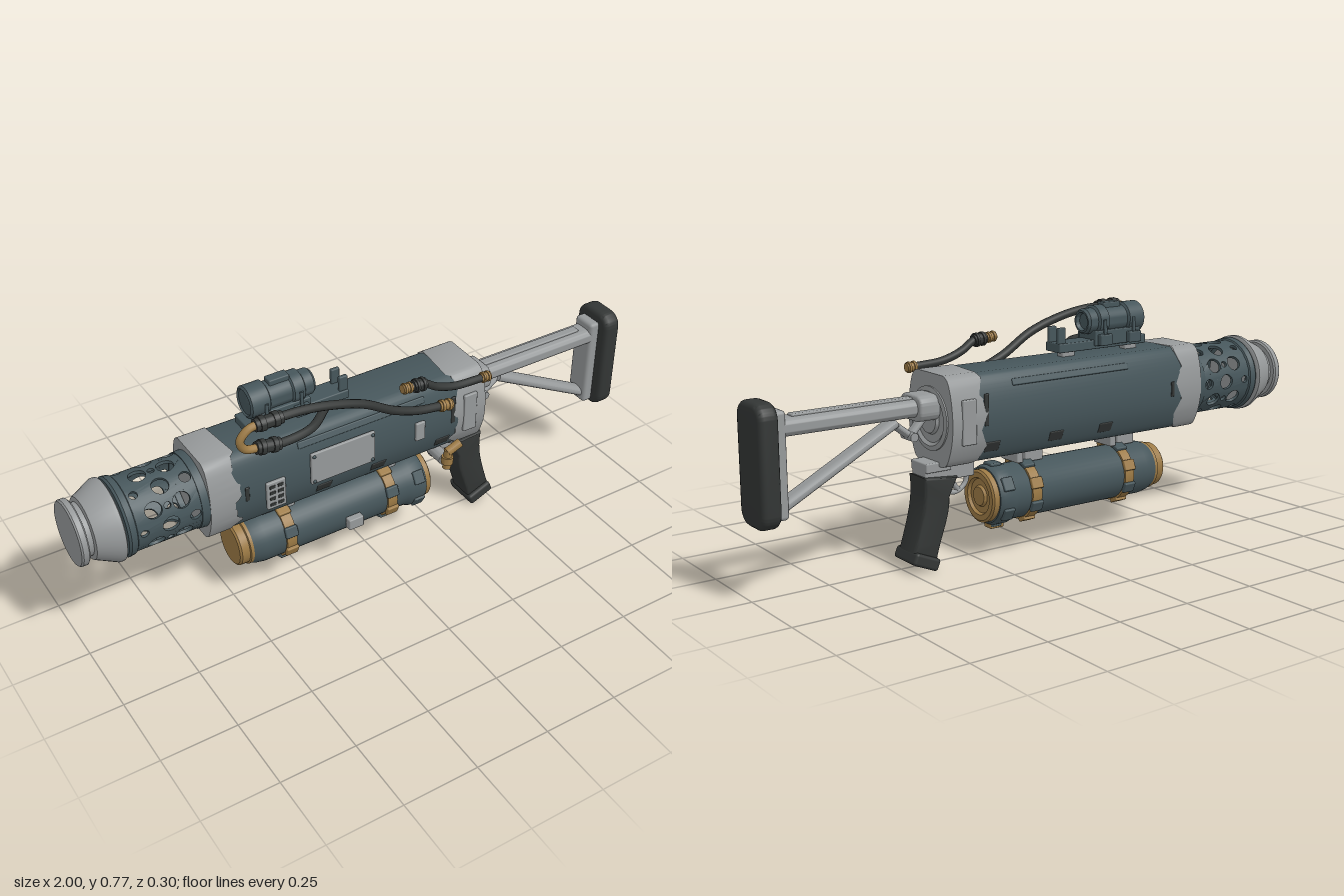
import * as THREE from 'three';
import { toCreasedNormals, mergeGeometries } from 'three/addons/utils/BufferGeometryUtils.js';
import { RoundedBoxGeometry } from 'three/addons/geometries/RoundedBoxGeometry.js';

const mat = (color) => new THREE.MeshStandardMaterial({ color, side: THREE.DoubleSide });
const slate = mat(0x46565b), grey = mat(0x96999a), black = mat(0x333635), ochre = mat(0x9c7a45);
const ZC = -0.023, YB = 0.47, YT = 0.195; // centre plane, barrel axis, tank axis
const V = (x, y, z) => new THREE.Vector3(x, y, z);

export function createModel() {
  const root = new THREE.Group();

  function add(name, geo, m, x = 0, y = 0, z = 0, crease = 0.6) {
    const mesh = new THREE.Mesh(crease ? toCreasedNormals(geo, crease) : geo, m);
    mesh.name = name;
    mesh.position.set(x, y, z);
    root.add(mesh);
    return mesh;
  }
  const box = (name, m, x, y, z, w, h, d, r = 0.004) =>
    add(name, new RoundedBoxGeometry(w, h, d, 2, Math.min(r, w / 2.1, h / 2.1, d / 2.1)), m, x, y, z, 0);
  // revolved part along x from [x, radius] pairs
  const turned = (name, m, pts, y, z = ZC, seg = 40) =>
    add(name, new THREE.LatheGeometry(pts.map(([x, r]) => new THREE.Vector2(r, x)), seg).rotateZ(-Math.PI / 2), m, 0, y, z);
  // straight rod between two points
  function rod(name, m, a, b, r, flat = 1) {
    const d = b.clone().sub(a), mid = a.clone().add(b).multiplyScalar(0.5);
    const mesh = add(name, new THREE.CylinderGeometry(r, r, d.length(), 20).scale(1, 1, flat), m, mid.x, mid.y, mid.z);
    mesh.quaternion.setFromUnitVectors(V(0, 1, 0), d.normalize());
    return mesh;
  }
  const tube = (name, m, pts, r, n = 60) =>
    add(name, new THREE.TubeGeometry(new THREE.CatmullRomCurve3(pts), n, r, 12), m, 0, 0, 0, 0);
  // cross-section (z, y) extruded along x
  const extrudeX = (shape, x, len, bevel = 0) => new THREE.ExtrudeGeometry(shape, {
    depth: len - 2 * bevel, bevelEnabled: bevel > 0, bevelSize: bevel, bevelThickness: bevel, bevelOffset: -bevel, bevelSegments: 3, curveSegments: 10,
  }).rotateY(Math.PI / 2).translate(x + bevel, 0, 0);
  function roundRect(w, h, r) {
    const s = new THREE.Shape(), a = w / 2 - r, b = h / 2 - r;
    s.absarc(a, b, r, 0, Math.PI / 2);
    s.absarc(-a, b, r, Math.PI / 2, Math.PI);
    s.absarc(-a, -b, r, Math.PI, Math.PI * 1.5);
    s.absarc(a, -b, r, Math.PI * 1.5, Math.PI * 2);
    return s;
  }

  // receiver: bulged sides, flat top and bottom
  const half = [[0.062, -0.14], [0.088, -0.125], [0.114, -0.065], [0.122, 0], [0.114, 0.07], [0.095, 0.122], [0.07, 0.138]];
  const side = new THREE.SplineCurve(half.map(([u, v]) => new THREE.Vector2(u, v))).getSpacedPoints(24);
  const outline = (g = 0) => {
    const right = side.map((p) => new THREE.Vector2(p.x + g, p.y * (1 + g * 7)));
    const left = right.map((p) => new THREE.Vector2(-p.x, p.y)).reverse();
    return new THREE.Shape([...right, ...left]);
  };
  add('receiver', extrudeX(outline(), -0.59, 0.98, 0.006), slate, 0, YB, ZC);

  // worn end collars with an uneven inner edge
  function collar(name, x0, x1, dir) {
    const geo = extrudeX(outline(0.003), x0, x1 - x0), p = geo.attributes.position;
    const inner = dir > 0 ? x1 : x0;
    for (let i = 0; i < p.count; i++) {
      if (Math.abs(p.getX(i) - inner) > 1e-4) continue;
      const a = Math.atan2(p.getY(i), p.getZ(i));
      p.setX(i, inner + dir * 0.014 * (Math.sin(7 * a) + 0.7 * Math.sin(17 * a + 1)));
    }
    add(name, geo, grey, 0, YB, ZC);
  }
  collar('frontCollar', -0.6, -0.51, 1);
  collar('rearCollar', 0.29, 0.4, -1);
  turned('rearHub', grey, [[0.39, 0.1], [0.405, 0.1], [0.408, 0.085], [0.4, 0.075], [0.4, 0.05], [0.41, 0.045], [0.41, 0]], YB);

  // raised ridges and slots along the slanted flanks
  for (const s of [1, -1]) {
    box('shoulderRidge', slate, -0.06, YB + 0.1, ZC + s * 0.103, 0.46, 0.022, 0.012).rotation.x = -s * 0.42;
    for (const x of [-0.2, 0.0, 0.245])
      box('lowerSlot', black, x, YB - 0.09, ZC + s * 0.103, 0.055, 0.036, 0.008).rotation.x = s * 0.42;
    box('collarClamp', grey, 0.34, YB, ZC + s * 0.122, 0.05, 0.14, 0.012);
    box('collarSlot', black, 0.275, YB + 0.03, ZC + s * 0.12, 0.016, 0.1, 0.008);
    box('frontSlot', black, -0.475, YB + 0.005, ZC + s * 0.121, 0.014, 0.05, 0.006);
  }
  for (const x of [-0.3, -0.05, 0.18]) box('bellySlot', black, x, YB - 0.139, ZC, 0.09, 0.008, 0.05);

  // side plates with screws
  box('sidePlate', grey, -0.145, 0.485, 0.106, 0.23, 0.115, 0.012);
  for (const x of [-0.25, -0.04]) for (const y of [0.438, 0.532])
    add('plateScrew', new THREE.SphereGeometry(0.006, 10, 6), slate, x, y, 0.112, 0);
  box('ventFrame', grey, -0.382, 0.443, 0.104, 0.066, 0.1, 0.012);
  for (let i = 0; i < 4; i++) for (const dx of [-0.014, 0.014])
    box('ventOpening', black, -0.382 + dx, 0.41 + i * 0.022, 0.109, 0.02, 0.012, 0.006, 0.002);
  box('smallPlate', grey, 0.143, 0.472, 0.104, 0.035, 0.068, 0.012);

  // perforated barrel: curved panels with staggered holes
  const panels = 12, R = 0.114, w = (2 * Math.PI * R) / panels, parts = [];
  for (let k = 0; k < panels; k++) {
    const s = new THREE.Shape([[0, -w / 2], [0.24, -w / 2], [0.24, 0], [0.24, w / 2], [0, w / 2], [0, 0]].map(([x, y]) => new THREE.Vector2(x, y)));
    const holes = k % 2 ? [[0.075, 0.027], [0.165, 0.027], [0.12, 0.011]] : [[0.035, 0.013], [0.12, 0.027], [0.2, 0.018]];
    for (const [x, r] of holes) s.holes.push(new THREE.Path().absellipse(x, 0, r, r * 0.9, 0, Math.PI * 2, true));
    const geo = new THREE.ExtrudeGeometry(s, { depth: 0.01, bevelEnabled: false, curveSegments: 14 }), p = geo.attributes.position;
    for (let i = 0; i < p.count; i++) {
      const a = (k * 2 * Math.PI) / panels + p.getY(i) / R, r = R - 0.005 + p.getZ(i);
      p.setXYZ(i, p.getX(i) - 0.845, -r * Math.sin(a), r * Math.cos(a));
    }
    parts.push(geo);
  }
  add('perforatedBarrel', mergeGeometries(parts), slate, 0, YB, ZC);
  turned('barrelFrontRing', slate, [[-0.862, 0.095], [-0.862, 0.122], [-0.855, 0.127], [-0.835, 0.124], [-0.83, 0.117], [-0.83, 0.1]], YB);
  turned('barrelRearRing', slate, [[-0.625, 0.105], [-0.625, 0.122], [-0.595, 0.124]], YB);

  // flared muzzle with end disc
  turned('muzzle', grey, [[-1, 0], [-1, 0.1], [-0.995, 0.104], [-0.978, 0.104], [-0.973, 0.098], [-0.972, 0.084], [-0.955, 0.084],
    [-0.952, 0.098], [-0.885, 0.131], [-0.872, 0.131], [-0.868, 0.125], [-0.868, 0.1], [-0.85, 0.098], [-0.85, 0]], YB);

  // gas tank under the receiver
  turned('tankBody', slate, [[-0.45, 0], [-0.45, 0.077], [-0.43, 0.085], [-0.4, 0.09], [0.13, 0.09], [0.15, 0.098], [0.19, 0.098], [0.203, 0.09], [0.203, 0]], YT);
  turned('tankFrontCap', ochre, [[-0.488, 0], [-0.488, 0.068], [-0.482, 0.074], [-0.455, 0.074], [-0.453, 0.08], [-0.435, 0.08], [-0.432, 0.07]], YT);
  turned('tankRearCap', ochre, [[0.2, 0.085], [0.222, 0.085], [0.227, 0.078], [0.227, 0.06], [0.217, 0.055], [0.217, 0.035], [0.226, 0.03], [0.226, 0]], YT);
  for (const x of [-0.315, 0.065]) {
    turned('tankBand', ochre, [[x - 0.018, 0.085], [x - 0.018, 0.097], [x + 0.018, 0.097], [x + 0.018, 0.085]], YT);
    for (let i = 0; i < 8; i++) {
      const a = (i + 0.5) * Math.PI / 4;
      box('bandLug', i % 2 ? ochre : slate, x, YT + 0.098 * Math.sin(a), ZC + 0.098 * Math.cos(a), 0.044, 0.036, 0.014).rotation.x = -a;
    }
    box('tankHanger', grey, x - 0.035, 0.312, ZC, 0.07, 0.05, 0.06);
    box('hangerPin', grey, x + 0.03, 0.312, ZC, 0.025, 0.04, 0.09);
  }
  for (let i = 0; i < 6; i++) {
    const a = i * Math.PI / 3 + Math.PI / 6;
    box('rearTankLug', slate, 0.172, YT + 0.097 * Math.sin(a), ZC + 0.097 * Math.cos(a), 0.04, 0.045, 0.014).rotation.x = -a;
  }
  box('tankFoot', ochre, 0.168, 0.097, ZC, 0.05, 0.024, 0.04);
  box('tankPlate', grey, -0.088, 0.185, 0.082, 0.055, 0.04, 0.026);

  // pistol grip and trigger
  box('gripMount', grey, 0.355, 0.3, ZC, 0.18, 0.045, 0.075);
  box('gripBracket', grey, 0.4, 0.325, ZC, 0.09, 0.03, 0.09);
  const grip = new THREE.Shape();
  grip.moveTo(0.335, 0.285);
  grip.lineTo(0.45, 0.295);
  grip.bezierCurveTo(0.44, 0.22, 0.46, 0.16, 0.49, 0.065);
  grip.lineTo(0.413, 0.035);
  grip.bezierCurveTo(0.4, 0.1, 0.36, 0.17, 0.365, 0.225);
  const gripGeo = new THREE.ExtrudeGeometry(grip, { depth: 0.074, bevelSize: 0.009, bevelThickness: 0.011, bevelOffset: -0.006, bevelSegments: 3 });
  add('grip', gripGeo, black, 0, 0, ZC - 0.037);
  box('gripBase', black, 0.455, 0.036, ZC, 0.094, 0.04, 0.124, 0.01).rotation.z = 0.4;
  tube('trigger', grey, [V(0.325, 0.285, ZC), V(0.322, 0.255, ZC), V(0.305, 0.232, ZC)], 0.009, 12);
  tube('triggerGuard', grey, [V(0.272, 0.295, ZC), V(0.275, 0.25, ZC), V(0.31, 0.225, ZC), V(0.36, 0.232, ZC)], 0.008, 20);

  // shoulder stock
  add('stockTube', extrudeX(roundRect(0.085, 0.054, 0.025), 0.4, 0.53), grey, 0, 0.512, ZC);
  add('stockSocket', extrudeX(roundRect(0.12, 0.08, 0.03), 0.4, 0.07, 0.006), grey, 0, 0.512, ZC);
  box('stockRib', grey, 0.67, 0.54, ZC, 0.4, 0.012, 0.03);
  rod('stockStrut', grey, V(0.53, 0.475, ZC), V(0.915, 0.272, ZC), 0.018, 1.7);
  rod('stockLink', grey, V(0.42, 0.485, ZC), V(0.475, 0.425, ZC), 0.012, 1.6);
  rod('stockLink', grey, V(0.475, 0.425, ZC), V(0.54, 0.475, ZC), 0.012, 1.6);
  rod('stockPivot', grey, V(0.475, 0.425, ZC - 0.03), V(0.475, 0.425, ZC + 0.03), 0.014);
  box('stockUpright', grey, 0.92, 0.405, ZC, 0.04, 0.32, 0.085, 0.012);
  add('buttPad', extrudeX(roundRect(0.155, 0.368, 0.05), 0.938, 0.062, 0.016), black, 0, 0.411, ZC);

  // sight on its rail
  box('sightRail', slate, -0.245, 0.64, ZC, 0.36, 0.03, 0.075);
  for (const x of [-0.38, -0.12]) box('railPost', grey, x, 0.615, ZC, 0.05, 0.03, 0.03);
  box('sightCradle', slate, -0.3, 0.66, ZC, 0.19, 0.05, 0.09);
  for (const s of [1, -1]) for (const x of [-0.36, -0.24]) {
    box('cradleClamp', slate, x, 0.655, ZC + s * 0.052, 0.05, 0.036, 0.022);
    rod('clampStrap', slate, V(x, 0.66, ZC + s * 0.054), V(x, 0.72, ZC + s * 0.05), 0.006);
  }
  turned('sightTube', slate, [[-0.405, 0], [-0.405, 0.04], [-0.41, 0.044], [-0.405, 0.052], [-0.345, 0.052], [-0.34, 0.044], [-0.265, 0.044], [-0.26, 0.05],
    [-0.225, 0.05], [-0.22, 0.042], [-0.19, 0.042], [-0.182, 0.036], [-0.182, 0.03], [-0.195, 0.026], [-0.195, 0]], 0.713, ZC, 32);
  box('sightTurret', slate, -0.295, 0.758, ZC, 0.07, 0.025, 0.035);
  for (const s of [1, -1]) box('rearSightPost', slate, -0.08, 0.675, ZC + s * 0.024, 0.03, 0.06, 0.014);

  // hoses with threaded end fittings
  const HZ = 0.12;
  const path = (pts) => pts.map(([x, y, z = HZ]) => V(x, y, z));
  tube('mainHose', black, path([[-0.42, 0.733], [-0.3, 0.728], [-0.2, 0.71], [-0.08, 0.67], [0.03, 0.605], [0.12, 0.57], [0.21, 0.553]]), 0.014);
  tube('hoseLoop', ochre, path([[-0.42, 0.733], [-0.47, 0.728], [-0.5, 0.695], [-0.485, 0.662], [-0.43, 0.648]]), 0.013, 30);
  tube('returnHose', black, path([[-0.44, 0.65], [-0.36, 0.637], [-0.25, 0.634, 0.1], [-0.16, 0.633, 0.03]]), 0.014, 30);
  tube('rearHose', black, path([[0.09, 0.668], [0.14, 0.665], [0.19, 0.635], [0.26, 0.612], [0.37, 0.604]]), 0.013, 40);
  const fittings = [[black, -0.45, 0.733, -0.36, 0.731, 0.02], [black, -0.45, 0.652, -0.37, 0.638, 0.02], [ochre, 0.2, 0.555, 0.25, 0.547, 0.016],
    [ochre, 0.06, 0.672, 0.095, 0.668, 0.014], [black, 0.1, 0.668, 0.145, 0.664, 0.019], [ochre, 0.36, 0.605, 0.395, 0.603, 0.014]];
  for (const [m, x0, y0, x1, y1, r] of fittings) {
    const a = V(x0, y0, HZ), b = V(x1, y1, HZ);
    rod('hoseFitting', m, a, b, r);
    for (const t of [0.25, 0.75]) rod('fittingRing', m, a.clone().lerp(b, t - 0.1), a.clone().lerp(b, t + 0.1), r + 0.004);
  }

  // gas valve between tank and receiver
  rod('valveBody', ochre, V(0.245, 0.29, 0.115), V(0.25, 0.36, 0.115), 0.014);
  rod('valveCollar', ochre, V(0.246, 0.31, 0.115), V(0.248, 0.335, 0.115), 0.02);
  rod('valveNozzle', ochre, V(0.245, 0.352, 0.115), V(0.295, 0.372, 0.115), 0.015);
  rod('valveElbow', grey, V(0.247, 0.315, 0.03), V(0.247, 0.315, 0.1), 0.022);

  return root;
}
